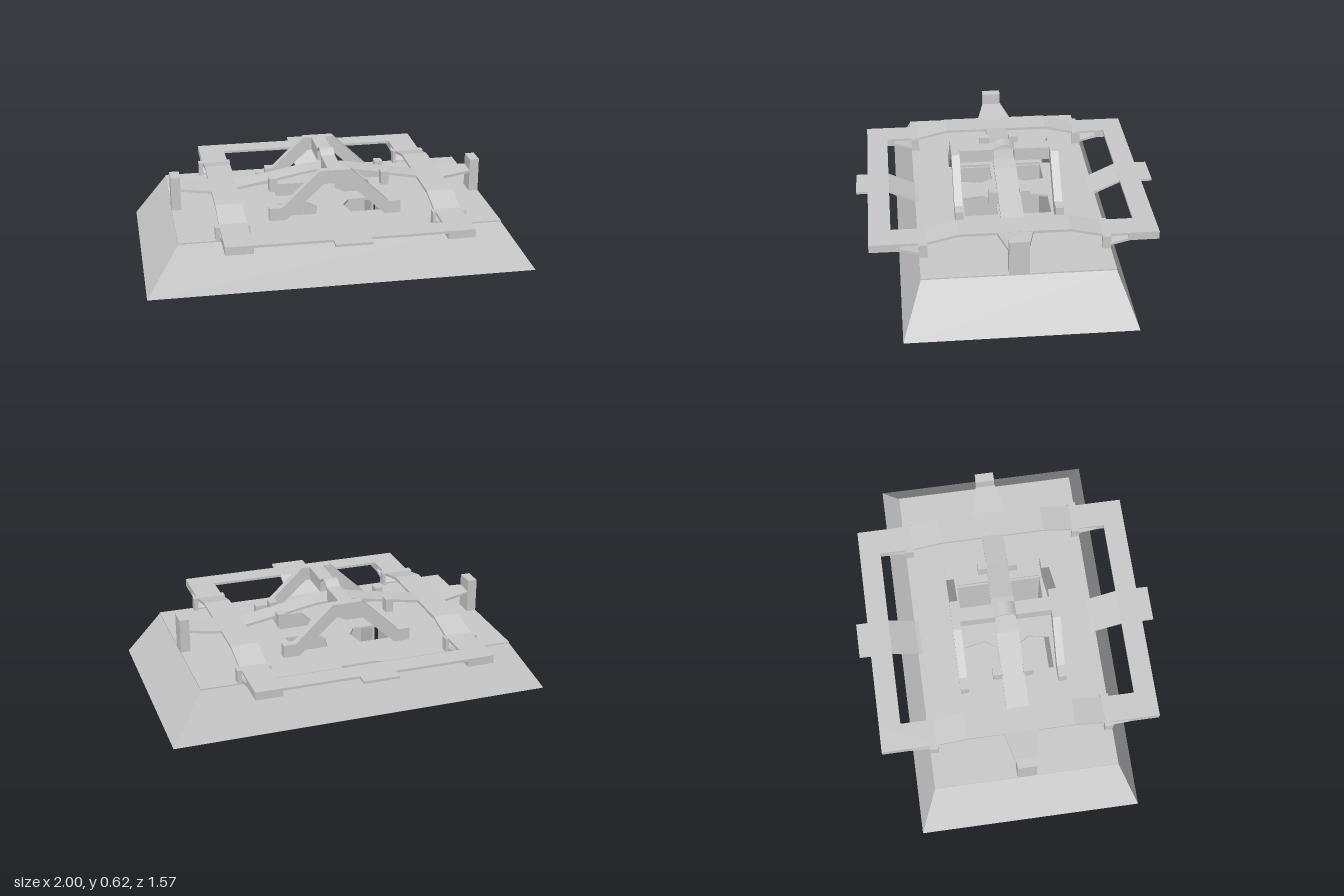
import * as THREE from 'three';

const mat = new THREE.MeshStandardMaterial({ color: 0xcccccc, flatShading: true, side: THREE.DoubleSide });

export function createModel() {
  const model = new THREE.Group();
  const add = (name, geo) => {
    const mesh = new THREE.Mesh(geo, mat);
    mesh.name = name;
    model.add(mesh);
    return mesh;
  };
  // box from min/max limits
  const box = (name, x0, x1, y0, y1, z0, z1) =>
    add(name, new THREE.BoxGeometry(x1 - x0, y1 - y0, z1 - z0)
      .translate((x0 + x1) / 2, (y0 + y1) / 2, (z0 + z1) / 2));
  const shapeOf = (pts) => new THREE.Shape(pts.map((p) => new THREE.Vector2(...p)));
  const extrude = (shape, depth) => new THREE.ExtrudeGeometry(shape, { depth, bevelEnabled: false });
  // outline in (x, y), extruded between z0 and z1
  const alongZ = (name, pts, z0, z1) => add(name, extrude(shapeOf(pts), z1 - z0).translate(0, 0, z0));
  // outline in (z, y), extruded between x0 and x1
  const alongX = (name, pts, x0, x1) =>
    add(name, extrude(shapeOf(pts), x1 - x0).rotateY(-Math.PI / 2).translate(x1, 0, 0));
  // outline in (x, z), lying flat with its top at y
  const flat = (name, shape, top, thick) =>
    add(name, extrude(shape, thick).rotateX(Math.PI / 2).translate(0, top, 0));
  const rect = (x, z) => [[-x, -z], [x, -z], [x, z], [-x, z]];
  const mirror = (pts, s) => pts.map(([a, b]) => [a * s, b]);
  const sides = [-1, 1];
  const span = (s, a, b) => (s > 0 ? [a, b] : [-b, -a]);

  // hollow skirt with sloping walls, open below
  const rings = [[1, 0.09, 0.575], [0.83, 0.335, 0.478]];
  const pos = [], idx = [];
  for (const [x, y, z] of rings) for (const [a, b] of rect(x, z)) pos.push(a, y, b);
  for (let i = 0; i < 4; i++) {
    const j = (i + 1) % 4;
    idx.push(i, i + 4, j, j, i + 4, j + 4);
  }
  const skirt = new THREE.BufferGeometry();
  skirt.setAttribute('position', new THREE.Float32BufferAttribute(pos, 3));
  skirt.setIndex(idx);
  skirt.computeVertexNormals();
  add('skirt', skirt);

  // deck with four openings over the well
  const deck = shapeOf(rect(0.83, 0.478));
  const opening = [[0.27, 0.225], [0.09, 0.225], [0.07, 0.12], [0.11, 0.055], [0.27, 0.055]];
  for (const sx of sides) for (const sz of sides) {
    deck.holes.push(new THREE.Path(opening.map(([x, z]) => new THREE.Vector2(x * sx, z * sz))));
  }
  flat('deck', deck, 0.342, 0.012);

  // well hanging beneath the deck, notched on both ends
  box('wellFloor', -0.272, 0.272, 0, 0.012, -0.238, 0.238);
  const endWall = [[-0.238, 0.33], [-0.238, 0], [0.238, 0], [0.238, 0.33],
    [0.045, 0.33], [0.045, 0.16], [0, 0.13], [-0.045, 0.16], [-0.045, 0.33]];
  for (const s of sides) {
    box('wellSide', -0.272, 0.272, 0, 0.33, ...span(s, 0.226, 0.238));
    alongX('wellEnd', endWall, ...span(s, 0.26, 0.272));
  }

  // raised bent frame: two long legs joined at front and back
  const leg = [[-0.725, 0.413], [-0.44, 0.413], [-0.28, 0.452], [0.28, 0.452], [0.44, 0.413], [0.725, 0.413],
    [0.725, 0.4], [0.44, 0.4], [0.28, 0.438], [-0.28, 0.438], [-0.44, 0.4], [-0.725, 0.4]];
  const bracket = [[0.725, 0.4], [0.725, 0.37], [0.58, 0.37], [0.45, 0.338], [0.45, 0.35], [0.57, 0.383], [0.57, 0.4]];
  const strap = [[0.455, 0.335], [0.475, 0.335], [0.615, 0.4], [0.615, 0.413], [0.475, 0.347], [0.455, 0.342]];
  for (const s of sides) {
    alongX('frameLeg', leg, ...span(s, 0.483, 0.622));
    box('frameBar', -0.483, 0.483, 0.4, 0.413, ...span(s, 0.613, 0.725));
    box('frameTab', -0.093, 0.093, 0.4, 0.413, ...span(s, 0.725, 0.785));
    alongX('frameStrap', mirror(strap, s), -0.093, 0.093);
    for (const sx of sides) {
      alongX('cornerBracket', mirror(bracket, s), ...span(sx, 0.483, 0.622));
      box('innerLegPost', ...span(sx, 0.468, 0.485), 0.335, 0.412, ...span(s, 0.435, 0.478));
      box('outerLegPost', ...span(sx, 0.62, 0.643), 0.335, 0.412, ...span(s, 0.435, 0.478));
    }
  }

  // bowed cross beam between the legs
  const beamTop = [[-0.49, 0.452], [-0.3, 0.485], [-0.1, 0.522], [0, 0.527], [0.1, 0.522], [0.3, 0.485], [0.49, 0.452]];
  const under = beamTop.map(([x, y]) => [x, y - 0.014]).reverse();
  alongZ('crossBeam', [...beamTop, ...under], -0.058, 0.058);

  // tapered side arms and their end posts
  for (const s of sides) {
    const arm = flat('sideArm', shapeOf(mirror([[0.62, -0.09], [0.79, -0.05], [0.79, 0.05], [0.62, 0.09]], s)), 0, 0.014);
    const p = arm.geometry.attributes.position;
    for (let i = 0; i < p.count; i++) {
      p.setY(i, p.getY(i) + 0.451 + (Math.abs(p.getX(i)) - 0.62) * 0.06);
    }
    box('endPost', ...span(s, 0.78, 0.83), 0.335, 0.522, -0.05, 0.05);
    // lugs on the edges of the cross beam
    for (const sz of sides) box('beamLug', ...span(s, 0.278, 0.32), 0.432, 0.505, ...span(sz, 0.055, 0.105));
  }

  // trestles standing at front and back of the well
  const half = [[0.08, 0.6], [0.28, 0.41], [0.345, 0.41], [0.345, 0.338], [0.265, 0.338], [0.06, 0.528]];
  const trestle = [...half, ...mirror(half, -1).reverse()];
  for (const s of sides) {
    alongZ('trestle', trestle, ...span(s, 0.238, 0.28));
    box('ridgeBeam', -0.037, 0.037, 0.53, 0.6, ...span(s, 0.055, 0.24));
  }

  // small arched bridge joining the two ridge beams
  const arch = [], archUnder = [];
  for (let i = 0; i <= 8; i++) {
    const t = i / 4 - 1;
    const y = 0.598 + 0.026 * (1 - t * t);
    arch.push([t * 0.057, y]);
    archUnder.unshift([t * 0.057, y - 0.01]);
  }
  alongX('archBridge', [...arch, ...archUnder], -0.037, 0.037);

  return model;
}
